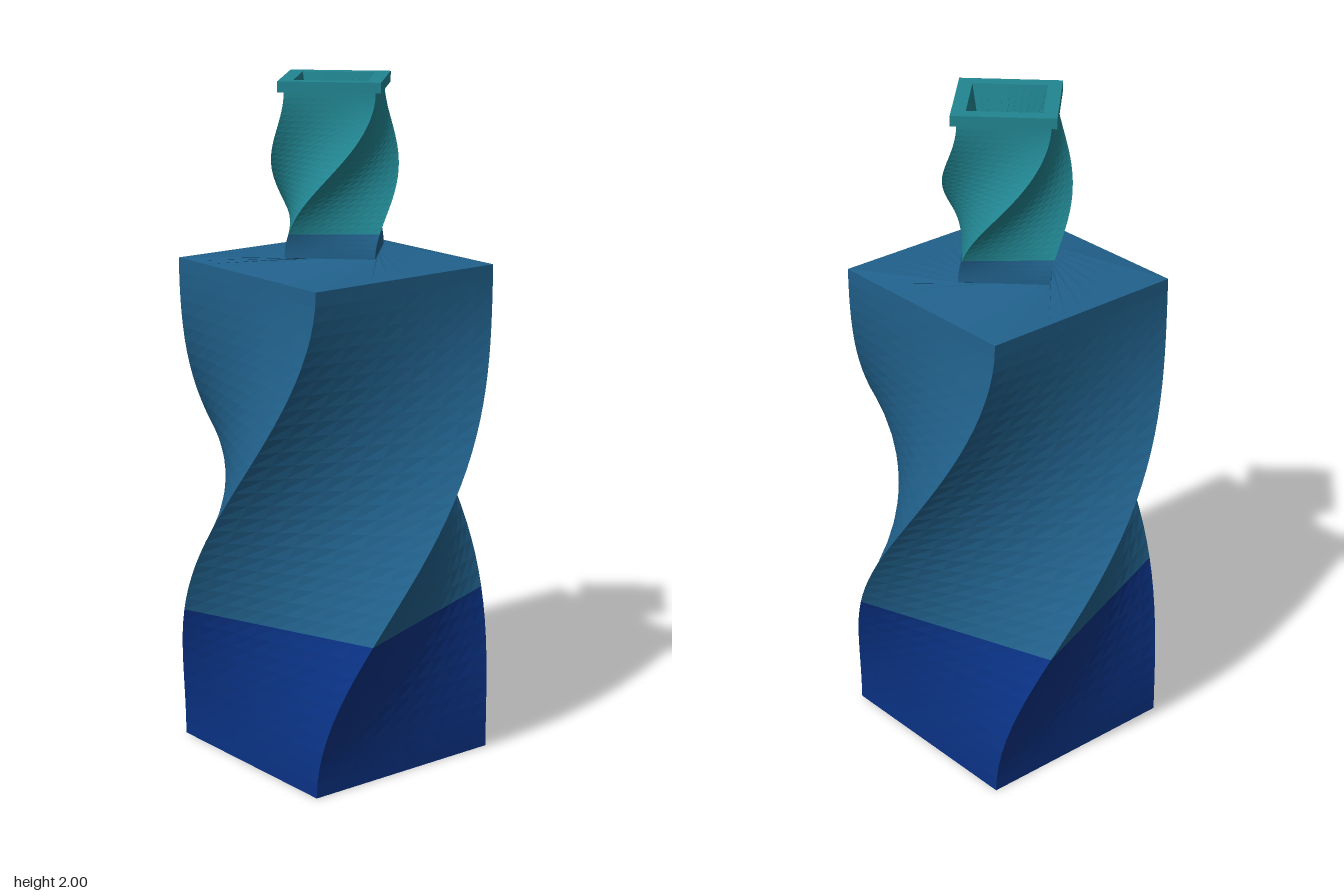
import * as THREE from 'three';

const navy = new THREE.MeshStandardMaterial({ color: 0x0a3284, flatShading: true });
navy.name = 'navy';
const blue = new THREE.MeshStandardMaterial({ color: 0x21618c, flatShading: true });
blue.name = 'steel blue';
const teal = new THREE.MeshStandardMaterial({ color: 0x218591, flatShading: true });
teal.name = 'teal';

const COLUMNS = 10; // strips across each side

// Square cross-section: height, corner radius, turn in degrees, x scale
const ring = (y, r, turn, sx = 1) => ({ y, r, turn, sx });

const corner = (s, k) => {
  const a = THREE.MathUtils.degToRad(s.turn + 90 * k);
  return new THREE.Vector3(s.r * Math.sin(a) * s.sx, s.y, s.r * Math.cos(a));
};

// Point part way along side k of a ring
const along = (s, k, t) => corner(s, k).lerp(corner(s, k + 1), t);

// Skin between successive square rings
function loft(name, material, rings) {
  const points = [];
  for (let i = 0; i < rings.length - 1; i++) {
    const low = rings[i], high = rings[i + 1];
    for (let k = 0; k < 4; k++) {
      for (let j = 0; j < COLUMNS; j++) {
        const t0 = j / COLUMNS, t1 = (j + 1) / COLUMNS;
        const a = along(low, k, t0), b = along(low, k, t1);
        const c = along(high, k, t1), d = along(high, k, t0);
        if (low.r > 0) points.push(a, b, c);
        if (high.r > 0) points.push(a, c, d);
      }
    }
  }
  const geo = new THREE.BufferGeometry().setFromPoints(points);
  geo.computeVertexNormals();
  const mesh = new THREE.Mesh(geo, material);
  mesh.name = name;
  return mesh;
}

// Rings of a column that eases through 90 degrees from bottom to top, cut to from..to
function twist(bottom, top, r, startTurn, from, to, steps) {
  const rings = [];
  for (let i = 0; i <= steps; i++) {
    const y = from + (to - from) * i / steps;
    rings.push(ring(y, r, startTurn + 90 * THREE.MathUtils.smoothstep(y, bottom, top)));
  }
  return rings;
}

export function createModel() {
  const model = new THREE.Group();
  model.name = 'twistedVase';

  // Body: dark foot, lighter upper part and shallow shoulder
  const R = 0.455, H = 1.47, band = 0.45;
  model.add(loft('bodyFoot', navy, [ring(0, 0, -45), ...twist(0, H, R, -45, 0, band, 10)]));
  model.add(loft('bodyUpper', blue, twist(0, H, R, -45, band, H, 24)));
  model.add(loft('shoulder', blue, [ring(H, R, 45), ring(1.5, 0.18, 90)]));

  // Neck: a smaller column with the same turn
  const n0 = 1.5, n1 = 1.97, r = 0.182, split = 1.57;
  model.add(loft('neckBase', blue, twist(n0, n1, r, 0, n0, split, 5)));
  model.add(loft('neck', teal, twist(n0, n1, r, 0, split, n1, 24)));

  // Lip with an open, tapering mouth
  model.add(loft('lip', teal, [
    ring(n1, r, 0), ring(n1, 0.205, 0), ring(2, 0.205, 0), ring(2, 0.148, 0),
  ]));
  model.add(loft('mouth', teal, [
    ring(2, 0.148, 0), ring(1.6, 0.057, 45, 0.5), ring(1.6, 0, 45),
  ]));
  return model;
}
